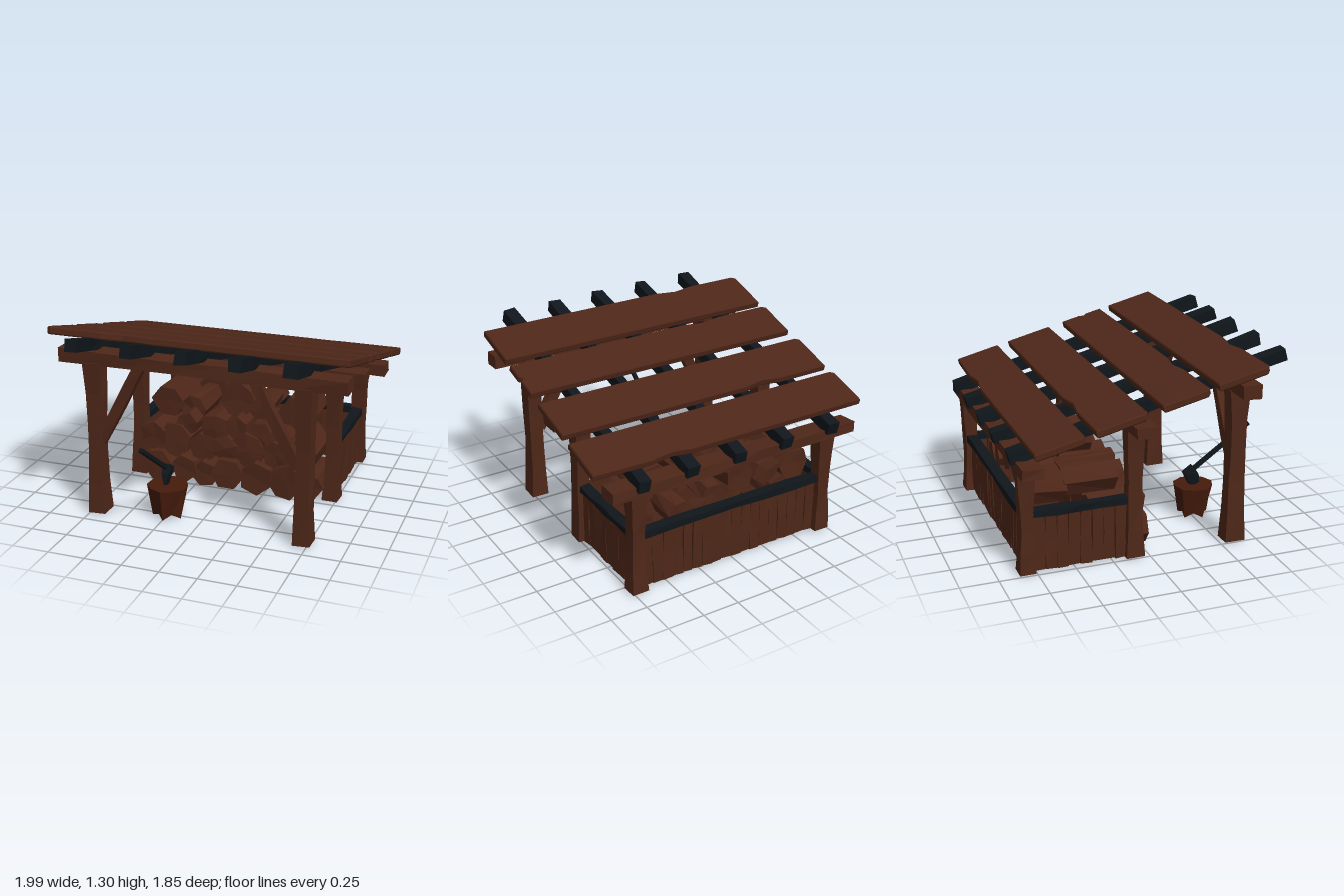
import * as THREE from 'three';

const mat = (color) => new THREE.MeshStandardMaterial({ color, flatShading: true, side: THREE.DoubleSide });
const wood = mat(0x4e2719), darkWood = mat(0x10161b), stumpWood = mat(0x471c0c);

// Repeatable value in -1..1 from a position, so coincident corners move together
const hash = (x, y, z) => {
  const s = Math.sin(x * 127.1 + y * 311.7 + z * 74.7 + 1.3) * 4375.85;
  return (s - Math.floor(s)) * 2 - 1;
};

function roughen(geo, amount, seed = 0) {
  const p = geo.attributes.position;
  for (let i = 0; i < p.count; i++) {
    const [x, y, z] = [p.getX(i), p.getY(i), p.getZ(i)].map((v) => Math.round(v * 1000) / 1000 + 0);
    p.setXYZ(i, p.getX(i) + hash(x + seed, y, z) * amount, p.getY(i) + hash(y, z + seed, x) * amount,
      p.getZ(i) + hash(z, x, y + seed) * amount);
  }
  geo.computeVertexNormals();
  return geo;
}

function add(parent, name, geo, material, x = 0, y = 0, z = 0) {
  const m = new THREE.Mesh(geo, material);
  m.name = name;
  m.position.set(x, y, z);
  parent.add(m);
  return m;
}

// Hand-hewn box, subdivided along its length
function hewn(w, h, d, segs = [1, 1, 1], amount = 0.006, seed = 0) {
  return roughen(new THREE.BoxGeometry(w, h, d, ...segs), amount, seed);
}

// Post that is thicker at its foot and head
function postGeometry(w, h, d, seed) {
  const geo = new THREE.BoxGeometry(w, h, d, 1, 5, 1);
  const p = geo.attributes.position;
  for (let i = 0; i < p.count; i++) {
    const k = 0.76 + 0.24 * Math.pow(Math.abs(p.getY(i)) / (h / 2), 1.5);
    p.setX(i, p.getX(i) * k);
    p.setZ(i, p.getZ(i) * k);
  }
  roughen(geo, 0.005, seed);
  for (let i = 0; i < p.count; i++) p.setY(i, Math.max(p.getY(i), -h / 2));
  return geo.translate(0, h / 2, 0);
}

// Roof board: outline with split ends and a chipped edge, slightly bevelled
function boardGeometry(depth, chipX, chipSide, split) {
  const a = 0.99, b = depth / 2 - 0.006;
  const s = new THREE.Shape();
  s.moveTo(-a, -b + 0.02);
  s.lineTo(-a + 0.025, -b);
  if (chipSide < 0) [[-0.14, 0], [0, 0.022], [0.15, 0]].forEach(([x, y]) => s.lineTo(chipX + x, -b + y));
  s.lineTo(a, -b);
  if (split) [[a, -0.04], [a - 0.025, -0.015], [a, 0.015]].forEach(([x, y]) => s.lineTo(x, y));
  s.lineTo(a, b - 0.01);
  if (chipSide > 0) [[0.15, 0], [0, -0.022], [-0.14, 0]].forEach(([x, y]) => s.lineTo(chipX + x, b + y));
  s.lineTo(-a + 0.01, b);
  s.closePath();
  const geo = new THREE.ExtrudeGeometry(s, { depth: 0.034, bevelThickness: 0.008, bevelSize: 0.006, bevelSegments: 1 });
  return geo.translate(0, 0, -0.017).rotateX(-Math.PI / 2);
}

// Log lying along z with its front end at the given z
function log(parent, i, x, y, r, front, length) {
  const geo = new THREE.CylinderGeometry(r * 1.03, r * 0.97, length, 6 + (i % 3 === 0 ? 1 : 0), 1);
  geo.rotateX(Math.PI / 2).rotateZ(i * 1.7);
  roughen(geo, 0.01, i);
  add(parent, 'log', geo, wood, x, Math.max(y, r * 0.98), front - length / 2);
}

function group(parent, name) {
  const g = new THREE.Group();
  g.name = name;
  parent.add(g);
  return g;
}

export function createModel() {
  const model = new THREE.Group();
  model.name = 'woodShed';

  // Sloping roof: rafters with flared ends, boards on top
  const roof = group(model, 'roof');
  roof.position.y = 1.014;
  roof.rotation.x = -0.25;
  [-0.7, -0.335, 0.02, 0.365, 0.705].forEach((x, i) => {
    const geo = hewn(0.066, 0.082, 1.88, [1, 1, 9], 0.005, i);
    const p = geo.attributes.position;
    for (let k = 0; k < p.count; k++) if (Math.abs(p.getZ(k)) > 0.7) p.setX(k, p.getX(k) * 1.25);
    add(roof, 'rafter', geo, darkWood, x);
  });
  [[-0.665, 0.32, 0.45, 1, false], [-0.28, 0.335, -0.48, 1, false],
    [0.13, 0.315, -0.45, -1, true], [0.505, 0.345, -0.47, -1, false]]
    .forEach(([z, depth, chipX, side, split]) =>
      add(roof, 'roofBoard', boardGeometry(depth, chipX, side, split), wood, 0, 0.061, (z + 0.016) / 0.969));

  // Cross beams and the three pairs of posts below them
  [[0.03, 1.085, 0.597, 1.91, 0.085, 0.125], [0, 0.908, -0.1, 1.85, 0.07, 0.135], [0, 0.73, -0.81, 1.8, 0.072, 0.135]]
    .forEach(([x, y, z, w, h, d], i) => {
      add(model, 'crossBeam', hewn(w, h, d, [5, 1, 1], 0.006, i), wood, x, y, z);
      const [pw, pd] = [[0.115, 0.135], [0.11, 0.118], [0.11, 0.11]][i];
      for (const s of [-1, 1])
        add(model, ['frontPost', 'middlePost', 'backPost'][i], postGeometry(pw, y - h / 2 + 0.01, pd, i * 2 + s), wood,
          s < 0 ? -0.697 : 0.715, 0, z);
    });

  // Diagonal braces on the front posts
  for (const s of [-1, 1]) {
    const brace = add(model, 'brace', hewn(0.07, 0.64, 0.06, [1, 3, 1], 0.005, s), wood, s * 0.52, 0.79, 0.597);
    brace.rotation.z = s * 0.49;
  }

  // Slatted walls with dark rails
  const walls = group(model, 'walls');
  const slats = (count, length, place) => {
    const pitch = length / count;
    for (let i = 0; i < count; i++) {
      const geo = hewn(pitch * 0.97, 0.375, 0.03, [1, 2, 1], 0.005, i + count);
      place(add(walls, 'slat', geo, wood, 0, 0.192), -length / 2 + pitch * (i + 0.5));
    }
  };
  slats(18, 1.32, (m, t) => {
    m.position.x = t + 0.008;
    m.position.z = -0.8;
  });
  add(walls, 'backRail', hewn(1.34, 0.045, 0.07, [6, 1, 1], 0.005), darkWood, 0.008, 0.398, -0.81);
  for (const s of [-1, 1]) {
    const x = s < 0 ? -0.7 : 0.715;
    slats(8, 0.61, (m, t) => {
      m.position.x = x;
      m.position.z = t - 0.46;
      m.rotation.y = s * Math.PI / 2;
    });
    add(walls, 'sideRail', hewn(0.07, 0.045, 0.62, [1, 1, 4], 0.005, s), darkWood, x, 0.398, -0.46);
  }

  // Stacked logs: front end and length of each row, then x, y, radius of its logs
  const pile = group(model, 'logPile');
  let n = 0;
  const rows = [
    [0.035, 0.36, [[-0.52, 0.11, 0.12], [-0.32, 0.12, 0.095], [-0.17, 0.1, 0.09], [0.0, 0.12, 0.115], [0.21, 0.12, 0.12], [0.42, 0.12, 0.12], [0.58, 0.11, 0.095]]],
    [-0.02, 0.36, [[-0.57, 0.32, 0.1], [-0.41, 0.3, 0.125], [-0.2, 0.27, 0.105], [-0.03, 0.29, 0.09], [0.13, 0.3, 0.12], [0.33, 0.28, 0.1], [0.5, 0.31, 0.13]]],
    [-0.055, 0.36, [[-0.12, 0.42, 0.1], [0.04, 0.43, 0.08], [0.2, 0.41, 0.09], [0.35, 0.39, 0.08], [-0.33, 0.42, 0.08]]],
    [-0.17, 0.36, [[-0.52, 0.52, 0.12], [-0.33, 0.49, 0.09], [0.17, 0.55, 0.08], [0.43, 0.54, 0.13]]],
    [-0.18, 0.31, [[0.0, 0.6, 0.125]]],
    [-0.53, 0.23, [[-0.52, 0.5, 0.12], [-0.3, 0.52, 0.11], [-0.08, 0.55, 0.11], [0.12, 0.48, 0.08], [-0.4, 0.36, 0.1], [0.35, 0.4, 0.09]]],
  ];
  for (const [front, length, logs] of rows)
    for (const [x, y, r] of logs) {
      n++;
      log(pile, n, x, y, r, front + hash(n, 1, 2) * 0.012, length);
    }

  // Chopping stump with root notches around the foot
  const stumpGeo = new THREE.CylinderGeometry(0.14, 0.105, 0.22, 10, 1);
  const sp = stumpGeo.attributes.position;
  for (let i = 0; i < sp.count; i++) {
    const step = Math.round(Math.atan2(sp.getX(i), sp.getZ(i)) / (Math.PI / 5));
    const foot = sp.getY(i) < 0, notch = Math.abs(step) % 2 === 1;
    const k = notch ? (foot ? 0.75 : 0.95) : 1;
    sp.setXYZ(i, sp.getX(i) * k, sp.getY(i) + (foot && notch ? 0.03 : 0), sp.getZ(i) * k);
  }
  add(model, 'stump', stumpGeo, stumpWood, -0.24, 0.11, 0.515);

  // Axe stuck in the stump
  const axe = group(model, 'axe');
  const handle = add(axe, 'axeHandle', new THREE.BoxGeometry(0.026, 0.026, 0.52), darkWood, -0.25, 0.468, 0.7);
  handle.rotation.x = -Math.atan2(0.29, 0.41);
  const blade = new THREE.Shape([[0.5, 0.36], [0.435, 0.315], [0.47, 0.235], [0.505, 0.2], [0.555, 0.235], [0.54, 0.3]]
    .map(([z, y]) => new THREE.Vector2(-z, y)));
  const headGeo = new THREE.ExtrudeGeometry(blade, { depth: 0.05, bevelEnabled: false });
  headGeo.translate(0, 0, -0.025).rotateY(Math.PI / 2);
  const hp = headGeo.attributes.position;
  for (let i = 0; i < hp.count; i++) if (hp.getY(i) < 0.24) hp.setX(i, hp.getX(i) * 0.25);
  add(axe, 'axeHead', headGeo, darkWood, -0.25);

  return model;
}
